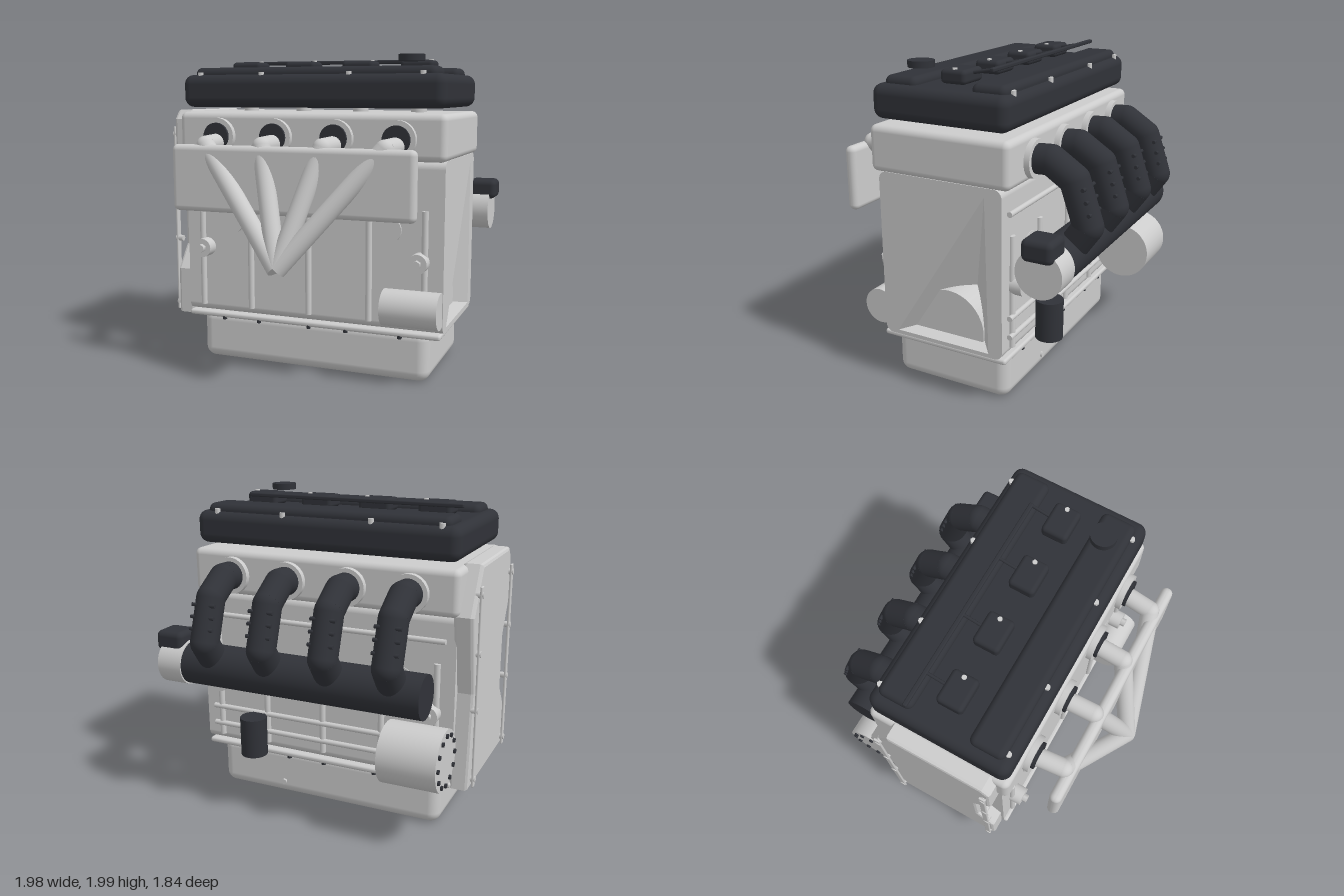
import * as THREE from 'three';
import { RoundedBoxGeometry } from 'three/addons/geometries/RoundedBoxGeometry.js';

const grey = new THREE.MeshStandardMaterial({ color: 0xcccccc });
const dark = new THREE.MeshStandardMaterial({ color: 0x303238 });
const V = (x, y, z) => new THREE.Vector3(x, y, z);
const cylinders = [-0.59, -0.2, 0.2, 0.59];

export function createModel() {
  const engine = new THREE.Group();

  const add = (name, geo, mat = grey, parent = engine) => {
    const m = new THREE.Mesh(geo, mat);
    m.name = name;
    parent.add(m);
    return m;
  };
  // Rounded box given by its limits on each axis
  const box = (name, [x0, x1], [y0, y1], [z0, z1], r, mat) => {
    const g = new RoundedBoxGeometry(x1 - x0, y1 - y0, z1 - z0, 4, r);
    return add(name, g.translate((x0 + x1) / 2, (y0 + y1) / 2, (z0 + z1) / 2), mat);
  };
  // Cylinder between two points
  const rod = (name, a, b, r, mat, sides = 28, parent = engine) => {
    const d = b.clone().sub(a);
    const m = add(name, new THREE.CylinderGeometry(r, r, d.length(), sides), mat, parent);
    m.position.copy(a).add(b).multiplyScalar(0.5);
    m.quaternion.setFromUnitVectors(V(0, 1, 0), d.normalize());
    return m;
  };
  // Pipe of straight runs with round elbows
  const pipe = (name, pts, r, mat) => {
    const g = new THREE.Group();
    g.name = name;
    engine.add(g);
    pts.forEach((p, i) => {
      if (!i) return;
      rod(name + 'Run', pts[i - 1], p, r, mat, 24, g);
      if (i < pts.length - 1) {
        add(name + 'Elbow', new THREE.SphereGeometry(r, 24, 16), mat, g).position.copy(p);
      }
    });
  };
  // Outline in (z, y) extruded along x
  const slab = (name, shape, x0, x1, mat, bevel = 0) => {
    const g = new THREE.ExtrudeGeometry(shape, {
      depth: x1 - x0 - 2 * bevel, curveSegments: 24, bevelEnabled: bevel > 0,
      bevelSize: bevel, bevelThickness: bevel, bevelOffset: -bevel, bevelSegments: 2,
    });
    return add(name, g.rotateY(-Math.PI / 2).translate(x1 - bevel, 0, 0), mat);
  };

  // Oil pan, flange and bolts
  box('oilPan', [-0.775, 0.775], [0.01, 0.34], [-0.41, 0.38], 0.07);
  box('panFlange', [-0.855, 0.855], [0.3, 0.335], [-0.445, 0.41], 0.015);
  for (const x of [-0.6, -0.35, 0, 0.25, 0.6]) {
    for (const z of [-0.425, 0.395]) {
      rod('panBolt', V(x, 0.288, z), V(x, 0.31, z), 0.015, dark, 8);
    }
  }
  rod('drainPlug', V(0.3, 0.1, -0.4), V(0.3, 0.1, -0.425), 0.02, grey, 6);

  // Block: rounded section, with a sunken bell recess in the +x end
  const section = () => {
    const s = new THREE.Shape(), r = 0.05;
    const [z0, z1, y0, y1] = [-0.43, 0.39, 0.335, 1.375];
    s.absarc(z1 - r, y0 + r, r, -Math.PI / 2, 0);
    s.absarc(z1 - r, y1 - r, r, 0, Math.PI / 2);
    s.absarc(z0 + r, y1 - r, r, Math.PI / 2, Math.PI);
    s.absarc(z0 + r, y0 + r, r, Math.PI, 1.5 * Math.PI);
    return s;
  };
  slab('block', section(), -0.86, 0.45);
  const rim = [[-0.32, 1.32], [0.3, 0.36], [-0.34, 0.36]];
  const holed = section();
  holed.holes.push(new THREE.Path(rim.map(([z, y]) => new THREE.Vector2(z, y))));
  slab('blockEnd', holed, 0.45, 0.865);
  const tris = [];
  rim.forEach(([z, y], i) => {
    const [zn, yn] = rim[(i + 1) % 3];
    tris.push(0.865, yn, zn, 0.865, y, z, 0.5, 0.42, -0.04);
  });
  const recess = new THREE.BufferGeometry();
  recess.setAttribute('position', new THREE.Float32BufferAttribute(tris, 3));
  recess.computeVertexNormals();
  add('bellRecess', recess, new THREE.MeshStandardMaterial({ color: 0xcccccc, side: THREE.DoubleSide }));
  const arch = new THREE.Shape();
  arch.absarc(-0.02, 0.42, 0.24, -0.32, Math.PI + 0.32);
  slab('crankHousing', arch, 0.5, 0.78);

  // Ribs, core plugs and mounts on both long sides
  for (const [side, z] of [[1, 0.39], [-1, -0.43]]) {
    for (const x of [-0.75, -0.4, 0, 0.4, 0.75]) {
      rod('blockRib', V(x, 0.38, z + side * 0.005), V(x, 1.08, z + side * 0.005), 0.02, grey, 16);
    }
    for (const x of [-0.525, 0.525]) {
      rod('corePlug', V(x, 0.955, z - 0.01), V(x, 0.955, z + side * 0.015), 0.08);
    }
    for (const x of [-0.72, 0.72]) {
      rod('mountBoss', V(x, 0.77, z), V(x, 0.77, z + side * 0.075), 0.06);
      rod('mountBolt', V(x, 0.77, z), V(x, 0.77, z + side * 0.105), 0.028, grey, 6);
    }
  }
  for (const y of [0.46, 0.58, 1.22]) {
    rod('rearRail', V(-0.8, y, -0.445), V(0.8, y, -0.445), 0.017, grey, 12);
  }

  // Timing cover with edge strips and bolts
  const cover = new THREE.Shape([
    [-0.43, 0.3], [0.37, 0.3], [0.37, 0.6], [0.26, 0.75], [0.26, 1.1], [0.37, 1.3],
    [0.37, 1.6], [0.32, 1.66], [-0.3, 1.66], [-0.46, 1.38], [-0.38, 0.9],
  ].map(([z, y]) => new THREE.Vector2(z, y)));
  slab('timingCover', cover, -0.962, -0.84, grey, 0.02);
  for (const z of [-0.37, 0.33]) {
    box('coverStrip', [-0.985, -0.97], [0.31, 1.55], [z - 0.02, z + 0.02], 0.006);
    for (const y of [0.36, 0.8, 1.15, 1.5]) {
      rod('coverBolt', V(-0.99, y, z), V(-0.94, y, z), 0.02, grey, 8);
    }
  }

  // Cylinder head and cover
  box('cylinderHead', [-0.88, 0.88], [1.37, 1.65], [-0.48, 0.44], 0.04);
  for (const x of cylinders) rod('plugTube', V(x, 1.62, -0.02), V(x, 1.72, -0.02), 0.05);
  box('valveCover', [-0.865, 0.865], [1.68, 1.885], [-0.46, 0.43], 0.06, dark);
  for (const z of [-0.31, 0.265]) {
    box('camRidge', [-0.8, 0.8], [1.82, 1.93], [z - 0.11, z + 0.11], 0.04, dark);
  }
  for (const z of [-0.425, 0.38]) {
    for (const x of [-0.75, -0.32, 0.26, 0.72]) {
      rod('valveCoverBolt', V(x, 1.86, z), V(x, 1.9, z), 0.018, grey, 8);
    }
  }
  rod('oilCap', V(0.61, 1.96, 0.24), V(0.61, 2, 0.24), 0.08, dark);

  // Ignition coils and wiring rail
  for (const x of cylinders) {
    box('coil', [x - 0.105, x + 0.105], [1.89, 1.973], [-0.105, 0.06], 0.025, dark);
    rod('coilBolt', V(x + 0.075, 1.95, -0.025), V(x + 0.075, 1.98, -0.025), 0.015, grey, 8);
    rod('coilLead', V(x, 1.95, -0.1), V(x, 1.975, -0.225), 0.01, dark, 8);
  }
  box('wiringRail', [-0.81, 0.6], [1.96, 1.985], [-0.237, -0.21], 0.008, dark);

  // Intake: flange, runner and pins per cylinder
  for (const x of cylinders) {
    rod('intakeFlange', V(x, 1.5, -0.46), V(x, 1.5, -0.515), 0.115);
    pipe('intakeRunner', [V(x, 1.5, -0.48), V(x, 1.505, -0.595), V(x, 1.41, -0.74),
      V(x, 1.15, -0.83), V(x, 0.99, -0.72)], 0.088, dark);
    for (const [y, z] of [[1.38, -0.82], [1.31, -0.84], [1.24, -0.86]]) {
      rod('runnerPin', V(x - 0.08, y, z), V(x + 0.08, y, z), 0.012, dark, 8);
    }
  }
  rod('intakePlenum', V(-0.775, 0.965, -0.695), V(0.785, 0.965, -0.695), 0.133, dark, 40);
  rod('throttleBody', V(0.78, 0.965, -0.695), V(0.945, 0.965, -0.695), 0.142, grey, 40);
  box('throttleActuator', [0.795, 0.985], [1.04, 1.17], [-0.79, -0.6], 0.035, dark);

  // Exhaust: ports, heat shield and converging headers
  for (const x of cylinders) {
    rod('exhaustFlange', V(x, 1.5, 0.42), V(x, 1.5, 0.475), 0.115);
    rod('exhaustGasket', V(x, 1.5, 0.46), V(x, 1.5, 0.493), 0.085, dark);
    pipe('exhaustHeader', [V(x, 1.46, 0.47), V(x * 0.97, 1.455, 0.645), V(0, 0.765, 0.868)], 0.057);
  }
  box('exhaustShield', [-0.775, 0.775], [1.05, 1.46], [0.645, 0.72], 0.035);

  // Alternator with a ring of bolts
  rod('alternator', V(-0.88, 0.57, -0.63), V(-0.52, 0.57, -0.63), 0.188, grey, 48);
  for (let i = 0; i < 12; i++) {
    const a = (i / 12) * Math.PI * 2;
    const y = 0.57 + 0.155 * Math.sin(a), z = -0.63 + 0.155 * Math.cos(a);
    rod('alternatorBolt', V(-0.892, y, z), V(-0.87, y, z), 0.015, dark, 8);
  }

  // Starter motor and oil filter
  rod('starterMotor', V(0.51, 0.49, 0.432), V(0.86, 0.49, 0.432), 0.112, grey, 40);
  rod('oilFilter', V(0.45, 0.33, -0.535), V(0.45, 0.585, -0.535), 0.086, dark, 32);

  return engine;
}
